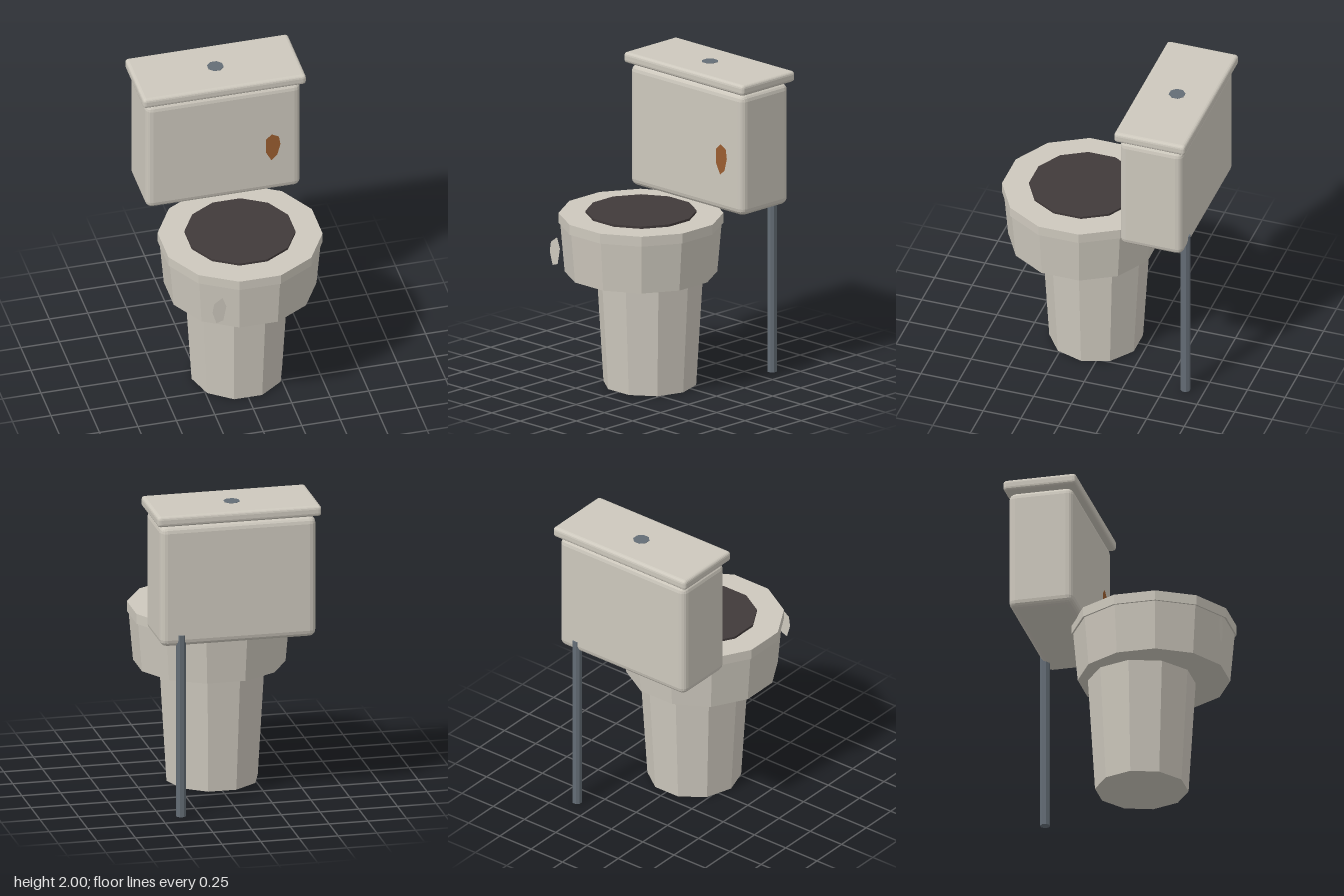
import * as THREE from 'three';
import { RoundedBoxGeometry } from 'three/addons/geometries/RoundedBoxGeometry.js';

const mat = (name, color, extra = {}) => {
  const m = new THREE.MeshStandardMaterial({ color, ...extra });
  m.name = name;
  return m;
};

export function createModel() {
  const group = new THREE.Group();
  const ceramic = mat('ceramic', 0xcdc8bd, { flatShading: true, side: THREE.DoubleSide });
  const dark = mat('darkSeat', 0x413a3a, { flatShading: true });
  const metal = mat('metal', 0x646d76, { flatShading: true });
  const rust = mat('rust', 0x9a5d30, { side: THREE.DoubleSide });

  const add = (name, geometry, material, x, y, z) => {
    const mesh = new THREE.Mesh(geometry, material);
    mesh.name = name;
    mesh.position.set(x, y, z);
    group.add(mesh);
    return mesh;
  };

  // Faceted drum with a flat side facing the front, from height y0 to y1
  const drum = (name, material, sides, rBottom, rTop, y0, y1, x, z) => {
    const g = new THREE.CylinderGeometry(rTop, rBottom, y1 - y0, sides, 1, false, Math.PI / sides);
    return add(name, g, material, x, (y0 + y1) / 2, z);
  };

  // Pedestal, bowl, rim and dark seat opening
  drum('pedestal', ceramic, 10, 0.295, 0.34, 0, 0.752, 0, 0.091);
  drum('bowl', ceramic, 12, 0.48, 0.508, 0.75, 1.07, 0, 0.17);
  drum('rim', ceramic, 12, 0.519, 0.519, 1.07, 1.135, 0, 0.17);
  drum('seatOpening', dark, 12, 0.349, 0.349, 1.12, 1.15, 0, 0.168);

  // Cistern with softly rounded edges
  add('tank', new RoundedBoxGeometry(1.006, 0.795, 0.42, 2, 0.045), ceramic, 0, 1.5225, -0.441);
  add('tankLid', new RoundedBoxGeometry(1.06, 0.07, 0.473, 2, 0.022), ceramic, 0, 1.963, -0.441);
  drum('flushButton', metal, 8, 0.053, 0.053, 1.985, 2, 0, -0.447);

  // Water pipe running up the back of the tank
  drum('waterPipe', metal, 8, 0.032, 0.032, 0, 1.2, 0.37, -0.629);

  // Thin irregular patches facing the front
  const patch = (name, material, points, z) => {
    const shape = new THREE.Shape(points.map(([x, y]) => new THREE.Vector2(x, y)));
    add(name, new THREE.ShapeGeometry(shape), material, 0, 0, z);
  };
  patch('rustPatch', rust, [
    [0.272, 1.53], [0.272, 1.43], [0.307, 1.365], [0.345, 1.4],
    [0.366, 1.48], [0.356, 1.54], [0.31, 1.565],
  ], -0.228);
  patch('ceramicChip', ceramic, [
    [-0.31, 0.925], [-0.285, 0.84], [-0.24, 0.855],
    [-0.22, 0.96], [-0.245, 1.03], [-0.3, 0.99],
  ], 0.672);

  return group;
}
